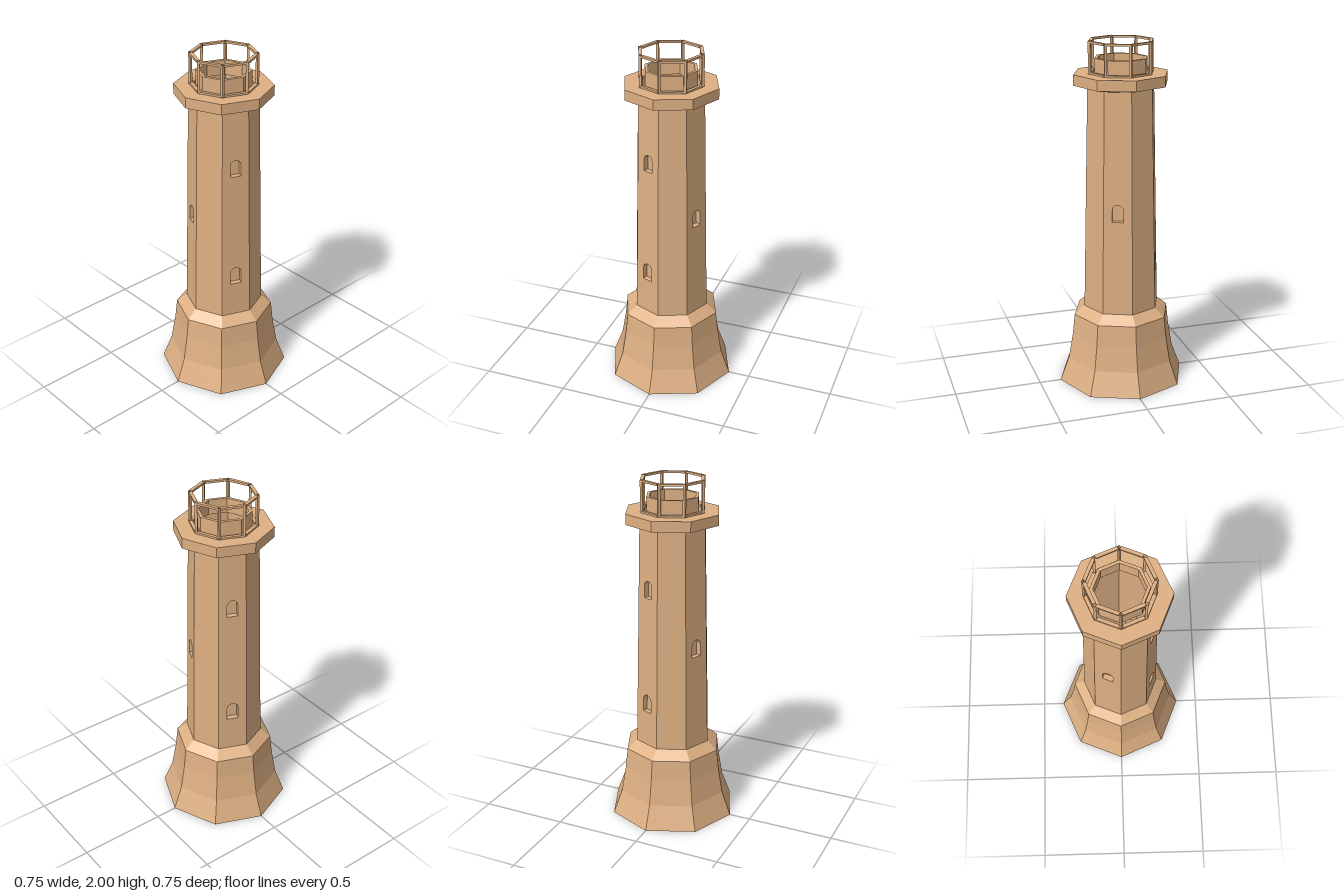
import * as THREE from 'three';

const SIDES = 8;
const STEP = (Math.PI * 2) / SIDES;
const SHAFT = { y0: 0.46, r0: 0.223, y1: 1.75, r1: 0.194 };
const REVEAL = 0.03;

const material = new THREE.MeshStandardMaterial({
  color: 0xdeb083, flatShading: true, side: THREE.DoubleSide,
});

function addMesh(parent, name, geometry) {
  const mesh = new THREE.Mesh(geometry, material);
  mesh.name = name;
  parent.add(mesh);
  return mesh;
}

// Octagonal solid from [radius, height] pairs, corners on the x and z axes
function octagon(profile) {
  return new THREE.LatheGeometry(profile.map(([r, y]) => new THREE.Vector2(r, y)), SIDES);
}

const shaftRadius = (y) =>
  THREE.MathUtils.mapLinear(y, SHAFT.y0, SHAFT.y1, SHAFT.r0, SHAFT.r1);
const wallDistance = (y) => shaftRadius(y) * Math.cos(STEP / 2);

// Lean a flat outline onto the sloping wall, optionally set back from it
function leanOnWall(geometry, inset = 0) {
  const p = geometry.attributes.position;
  for (let i = 0; i < p.count; i++) p.setZ(i, wallDistance(p.getY(i)) - inset);
  geometry.computeVertexNormals();
  return geometry;
}

// Round-headed window outline, counter-clockwise
function archPoints({ y, width, height }) {
  const r = width / 2;
  const spring = y + height - r;
  const points = [new THREE.Vector2(-r, y), new THREE.Vector2(r, y)];
  for (let i = 0; i <= 6; i++) {
    const a = (i / 6) * Math.PI;
    points.push(new THREE.Vector2(r * Math.cos(a), spring + r * Math.sin(a)));
  }
  return points;
}

// Strip joining the window opening to its recessed panel
function revealGeometry(points) {
  const n = points.length;
  const geometry = new THREE.PlaneGeometry(1, 1, n, 1);
  const p = geometry.attributes.position;
  for (let row = 0; row < 2; row++) {
    for (let i = 0; i <= n; i++) {
      const { x, y } = points[i % n];
      p.setXYZ(row * (n + 1) + i, x, y, wallDistance(y) - row * REVEAL);
    }
  }
  geometry.computeVertexNormals();
  return geometry;
}

// One wall of the shaft with its recessed windows
function shaftWall(windows) {
  const wall = new THREE.Group();
  wall.name = 'shaftWall';
  const h0 = SHAFT.r0 * Math.sin(STEP / 2);
  const h1 = SHAFT.r1 * Math.sin(STEP / 2);
  const shape = new THREE.Shape([
    new THREE.Vector2(-h0, SHAFT.y0), new THREE.Vector2(h0, SHAFT.y0),
    new THREE.Vector2(h1, SHAFT.y1), new THREE.Vector2(-h1, SHAFT.y1),
  ]);
  for (const w of windows) {
    const points = archPoints(w);
    shape.holes.push(new THREE.Path(points));
    addMesh(wall, 'windowReveal', revealGeometry(points));
    const panel = new THREE.ShapeGeometry(new THREE.Shape(points));
    addMesh(wall, 'windowPanel', leanOnWall(panel, REVEAL));
  }
  addMesh(wall, 'wallFace', leanOnWall(new THREE.ShapeGeometry(shape)));
  return wall;
}

export function createModel() {
  const model = new THREE.Group();
  model.name = 'lighthouse';

  // Flared hollow base with sloping shoulder
  addMesh(model, 'base', octagon([
    [0.375, 0], [0.322, 0.14], [0.296, 0.29], [0.283, 0.41], [SHAFT.r0, SHAFT.y0],
  ]));

  // Tapered shaft, windows on two pairs of opposite walls
  const pairWindows = [
    { y: 0.665, width: 0.066, height: 0.105 },
    { y: 1.35, width: 0.06, height: 0.1 },
  ];
  const singleWindow = [{ y: 1.01, width: 0.063, height: 0.1 }];
  const windowsByWall = { 1: pairWindows, 5: pairWindows, 3: singleWindow, 7: singleWindow };
  const shaft = new THREE.Group();
  shaft.name = 'shaft';
  model.add(shaft);
  for (let i = 0; i < SIDES; i++) {
    const wall = shaftWall(windowsByWall[i] ?? []);
    wall.rotation.y = (i + 0.5) * STEP;
    shaft.add(wall);
  }

  // Gallery deck with an open middle
  addMesh(model, 'galleryDeck', octagon([
    [0.192, 1.742], [0.273, 1.76], [0.273, 1.82], [0.188, 1.82], [0.192, 1.742],
  ]));

  // Low inner parapet
  addMesh(model, 'parapet', octagon([
    [0.135, 1.82], [0.153, 1.82], [0.153, 1.905], [0.135, 1.905], [0.135, 1.82],
  ]));

  // Lantern frame: corner posts with bars between them
  const frame = new THREE.Group();
  frame.name = 'lanternFrame';
  model.add(frame);
  const postRadius = 0.179;
  const barDistance = 0.178 * Math.cos(STEP / 2);
  for (let i = 0; i < SIDES; i++) {
    const a = i * STEP;
    const post = addMesh(frame, 'lanternPost',
      new THREE.CylinderGeometry(0.01, 0.01, 0.18, 4, 1, true));
    post.position.set(postRadius * Math.sin(a), 1.91, postRadius * Math.cos(a));
    post.rotation.y = a;

    const b = a + STEP / 2;
    for (const [name, y] of [['topRail', 1.994], ['bottomRail', 1.824]]) {
      const rail = addMesh(frame, name, new THREE.BoxGeometry(0.122, 0.012, 0.019));
      rail.position.set(barDistance * Math.sin(b), y, barDistance * Math.cos(b));
      rail.rotation.y = b;
    }
  }
  return model;
}
